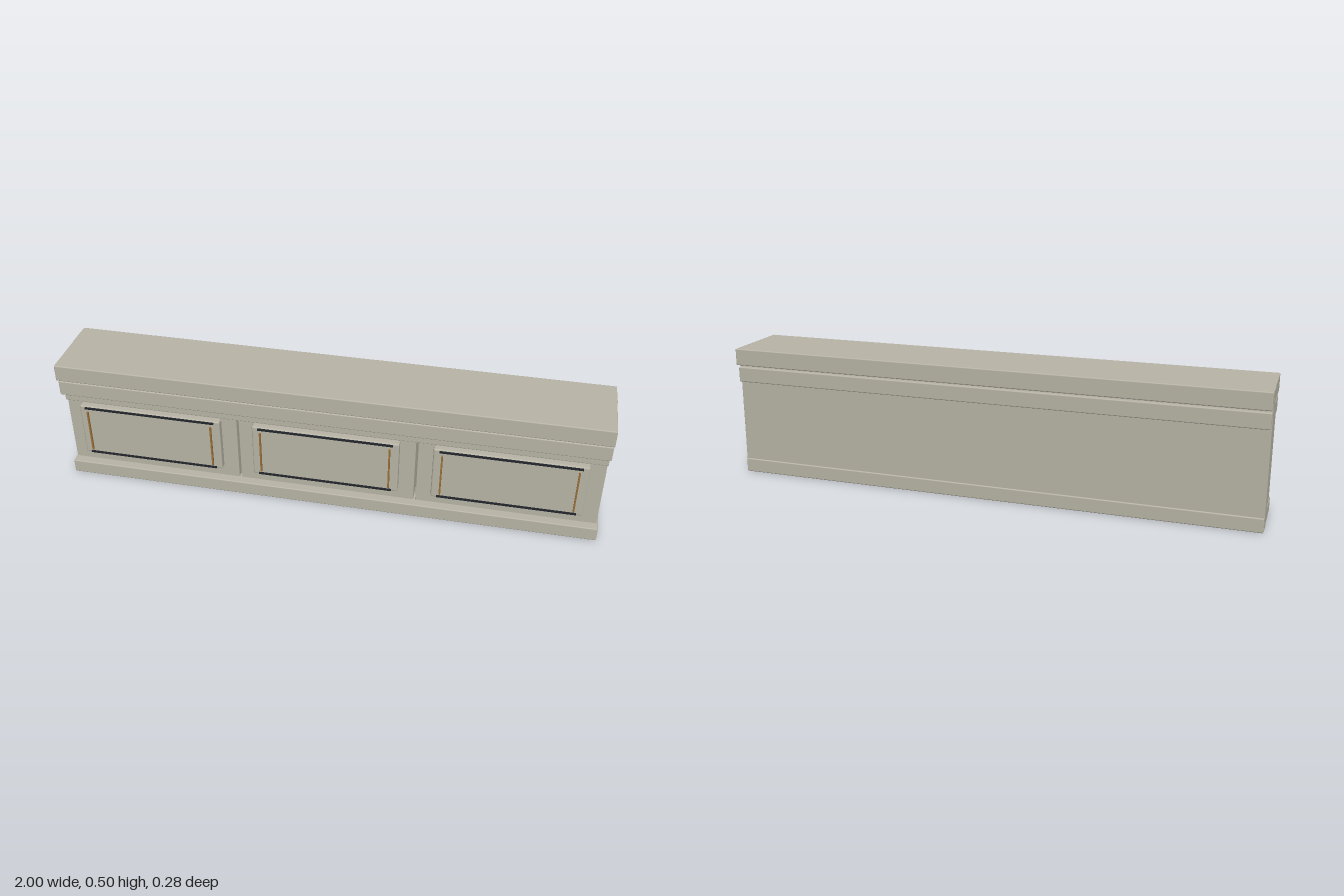
import * as THREE from 'three';
import { RoundedBoxGeometry } from 'three/addons/geometries/RoundedBoxGeometry.js';

const stone = new THREE.MeshStandardMaterial({ color: 0xb8b4a6 });
const darkTrim = new THREE.MeshStandardMaterial({ color: 0x22252b });
const brass = new THREE.MeshStandardMaterial({ color: 0x9a7038 });

// Box given by its [min, max] extents on each axis, with an optional rounded edge
function block(name, [x0, x1], [y0, y1], [z0, z1], radius = 0, material = stone) {
  const size = [x1 - x0, y1 - y0, z1 - z0];
  const geometry = radius
    ? new RoundedBoxGeometry(...size, 2, radius)
    : new THREE.BoxGeometry(...size);
  const mesh = new THREE.Mesh(geometry, material);
  mesh.name = name;
  mesh.position.set((x0 + x1) / 2, (y0 + y1) / 2, (z0 + z1) / 2);
  return mesh;
}

// One front bay: carcass, raised panel, dark rails and upright bars
function createBay() {
  const bay = new THREE.Group();
  bay.add(block('bayBody', [-0.329, 0.329], [0.03, 0.372], [-0.04, 0.083], 0.002));
  bay.add(block('raisedPanel', [-0.272, 0.272], [0.1, 0.315], [0.08, 0.111], 0.006));
  for (const y of [0.104, 0.304]) {
    bay.add(block('panelRail', [-0.25, 0.25], [y, y + 0.007], [0.109, 0.116], 0, darkTrim));
  }
  for (const x of [-0.239, 0.239]) {
    bay.add(block('panelBar', [x - 0.003, x + 0.003], [0.122, 0.295], [0.115, 0.122], 0, brass));
  }
  return bay;
}

export function createModel() {
  const model = new THREE.Group();
  model.name = 'counter';

  // Back wall and long horizontal courses
  model.add(block('backWall', [-1, 1], [0.001, 0.499], [-0.109, -0.036], 0.002));
  model.add(block('plinth', [-0.999, 0.999], [0, 0.053], [-0.115, 0.117], 0.004));
  model.add(block('lowerLedge', [-0.998, 0.998], [0.369, 0.427], [-0.128, 0.13], 0.004));
  model.add(block('countertop', [-0.999, 0.999], [0.437, 0.501], [-0.141, 0.142], 0.004));
  model.add(block('frontMoulding', [-0.994, 0.994], [0.329, 0.369], [0.08, 0.104], 0.003));

  // Three panelled bays along the front
  for (const i of [-1, 0, 1]) {
    const bay = createBay();
    bay.name = 'frontBay';
    bay.position.x = i * 0.666 - 0.002;
    model.add(bay);
  }
  return model;
}
